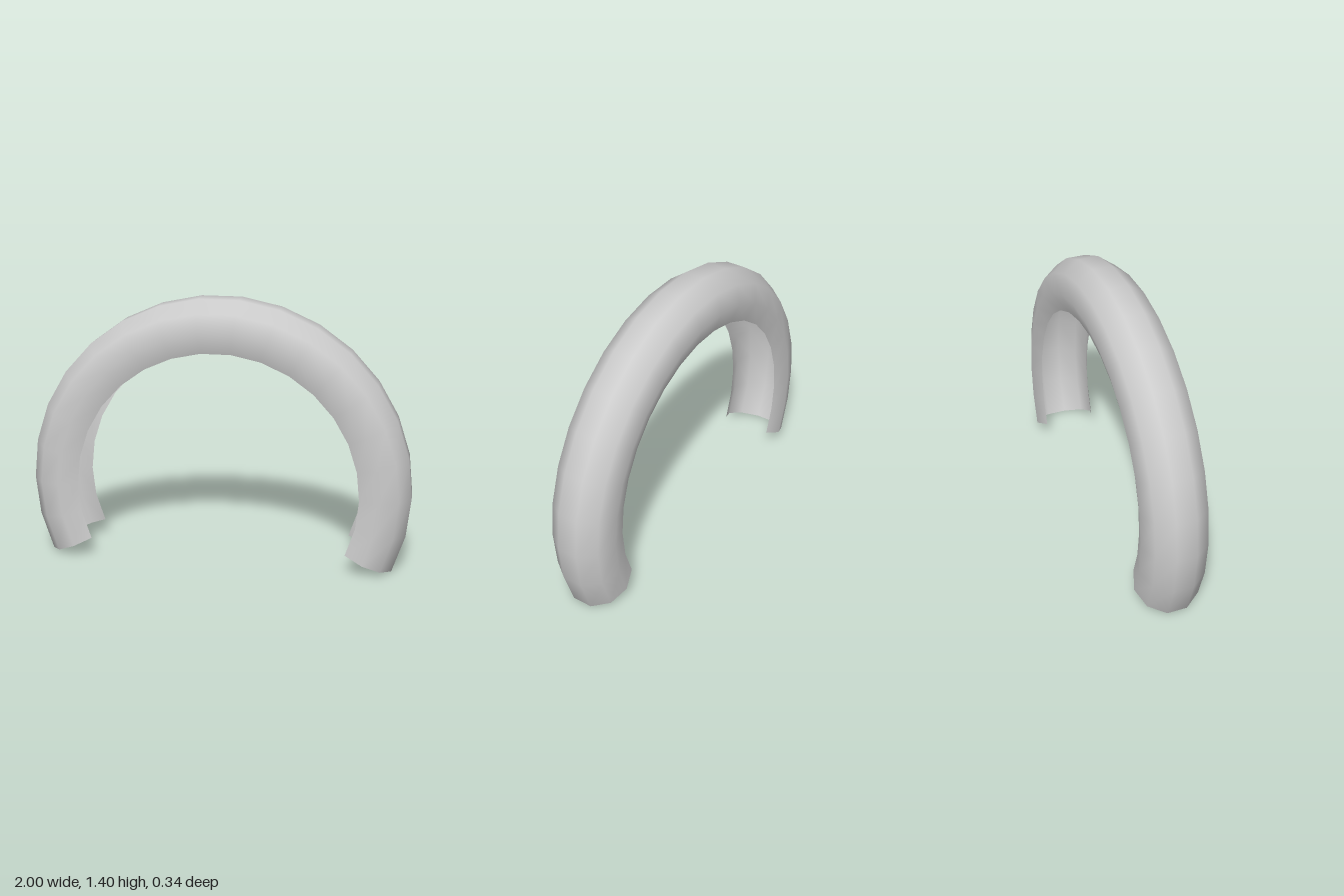
import * as THREE from 'three';

export function createModel() {
  const group = new THREE.Group();
  const deg = Math.PI / 180;
  const ringRadius = 0.838, tubeRadius = 0.17, halfSweep = 114 * deg;

  // C-shaped cross-section: seven sides of a decagon, open towards the ring's centre
  const profile = [];
  for (let a = -126; a <= 126; a += 36) {
    profile.push(new THREE.Vector2(
      ringRadius + tubeRadius * Math.cos(a * deg),
      tubeRadius * Math.sin(a * deg)
    ));
  }

  // Swept around an arc centred on the top, then stood upright
  const geometry = new THREE.LatheGeometry(profile, 19, -halfSweep, 2 * halfSweep);
  geometry.rotateX(-Math.PI / 2);

  const material = new THREE.MeshStandardMaterial({ color: 0xcccccc, side: THREE.DoubleSide });
  const arch = new THREE.Mesh(geometry, material);
  arch.name = 'openArchShell';
  arch.position.y = -Math.cos(halfSweep); // rest the outer tips on the ground
  group.add(arch);

  return group;
}
